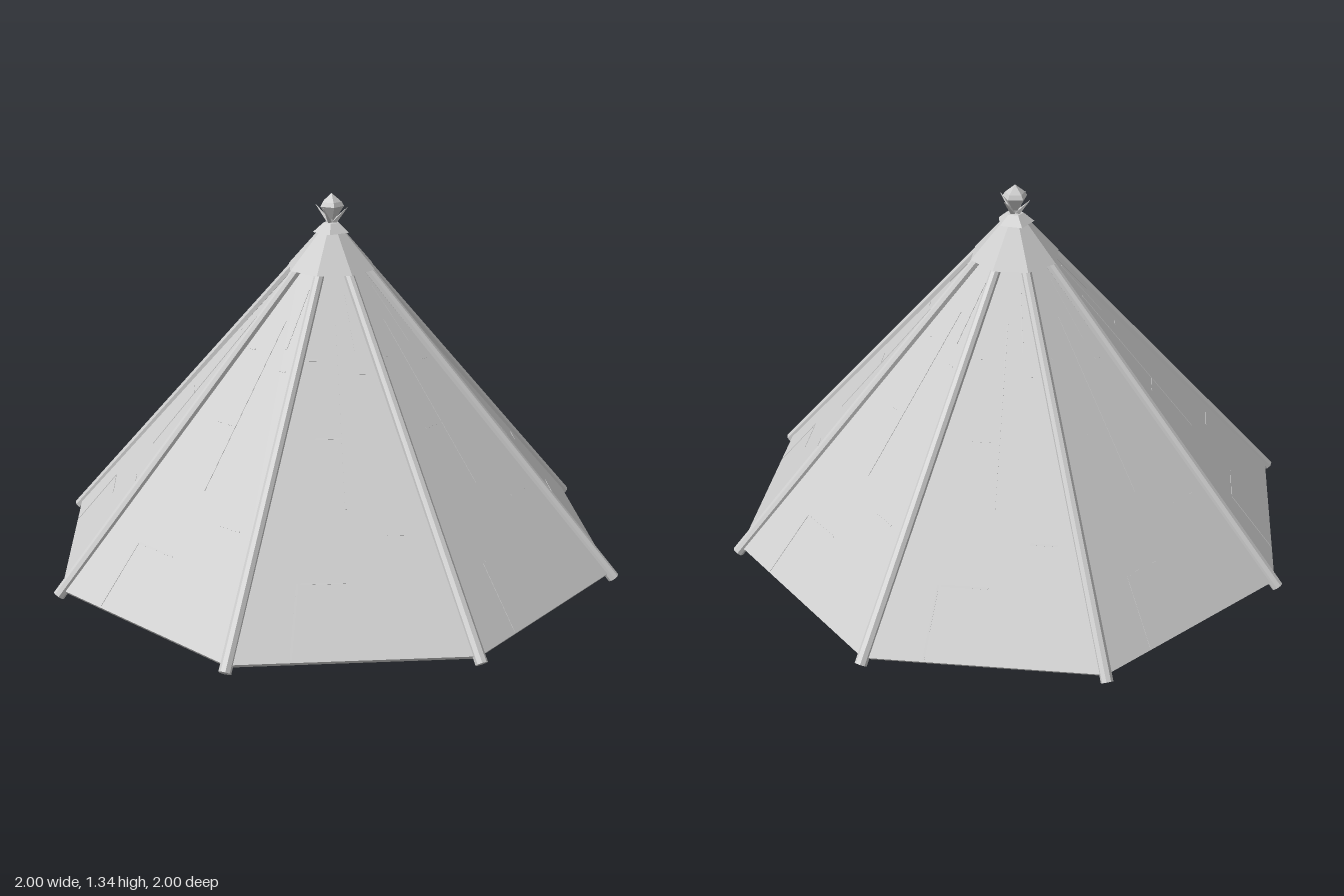
import * as THREE from 'three';

const SIDES = 8;
const STEP = (Math.PI * 2) / SIDES;
const COS = Math.cos(STEP / 2);
const mat = new THREE.MeshStandardMaterial({ color: 0xcccccc, flatShading: true, side: THREE.DoubleSide });

// Roof line measured at the octagon's corners
const EAVE = new THREE.Vector2(1.055, 0.045);
const NECK = new THREE.Vector2(0.13, 1.09);
const roofRadius = (y) => EAVE.x + ((y - EAVE.y) / (NECK.y - EAVE.y)) * (NECK.x - EAVE.x);

function mesh(name, geometry, parent) {
  const m = new THREE.Mesh(geometry, mat);
  m.name = name;
  parent.add(m);
  return m;
}

// Faceted ring of revolution with its flat sides facing the axes
function faceted(points, sides = SIDES) {
  return new THREE.LatheGeometry(points.map(([r, y]) => new THREE.Vector2(r, y)), sides, Math.PI / sides);
}

// Rod between two points
function rod(name, a, b, r0, r1, sides, parent) {
  const dir = b.clone().sub(a);
  const m = mesh(name, new THREE.CylinderGeometry(r1, r0, dir.length(), sides), parent);
  m.position.copy(a).lerp(b, 0.5);
  m.quaternion.setFromUnitVectors(new THREE.Vector3(0, 1, 0), dir.normalize());
  return m;
}

// Plank seam lying on the front-facing panel, given in x and height
function seam([x0, y0, x1, y1], parent) {
  const onPanel = (x, y) => new THREE.Vector3(x, y, roofRadius(y) * COS);
  const a = onPanel(x0, y0);
  const b = onPanel(x1, y1);
  const along = b.clone().sub(a);
  const length = along.length();
  along.normalize();
  const slope = onPanel(0, 1).sub(onPanel(0, 0));
  const normal = new THREE.Vector3(1, 0, 0).cross(slope).normalize();
  const m = mesh('plankSeam', new THREE.BoxGeometry(0.006, length, 0.003), parent);
  m.position.copy(a).lerp(b, 0.5);
  const side = along.clone().cross(normal);
  m.quaternion.setFromRotationMatrix(new THREE.Matrix4().makeBasis(side, along, normal));
}

export function createModel() {
  const model = new THREE.Group();
  model.name = 'octagonalRoof';

  // Hollow roof shell: inside surface, eave edge, outside surface
  mesh('roofShell', faceted([
    [0.004, 1.21], [1.041, 0.03], [EAVE.x, EAVE.y], [NECK.x, NECK.y], [0.01, 1.226],
  ]), model);

  // Plank seams, repeated on each panel
  const seams = [
    [0, 0.43, 0, 0.94], [-0.16, 0.24, 0, 0.24], [-0.09, 0.62, 0, 0.62],
    [-0.2, 0.05, -0.17, 0.24], [0.13, 0.36, 0.22, 0.36],
    [-0.1, 0.84, -0.07, 0.84], [0.07, 0.8, 0.1, 0.8], [0.06, 0.86, 0.035, 1.04],
  ];
  for (let i = 0; i < SIDES; i++) {
    const panel = new THREE.Group();
    panel.name = 'panelSeams';
    panel.rotation.y = i * STEP;
    seams.forEach((s) => seam(s, panel));
    model.add(panel);
  }

  // Poles along the corners
  for (let i = 0; i < SIDES; i++) {
    const a = (i + 0.5) * STEP;
    const at = (r, y) => new THREE.Vector3(Math.sin(a) * r, y, Math.cos(a) * r);
    rod('cornerPole', at(1.067, 0.024), at(0.1, 1.13), 0.021, 0.018, 8, model);
  }

  // Cap over the pole tops
  mesh('cap', faceted([[0.14, 1.085], [0.162, 1.09], [0.03, 1.24], [0, 1.25]]), model);

  // Small drooping collar
  mesh('collar', faceted([[0.03, 1.225], [0.068, 1.218], [0.03, 1.25], [0, 1.255]], 5), model);

  // Gem finial with slender leaves around it
  const gem = mesh('finialGem', faceted([[0.012, 1.24], [0.014, 1.262], [0.045, 1.31], [0.036, 1.325], [0, 1.355]], 5), model);
  gem.rotation.y = 0.3;
  for (let i = 0; i < 4; i++) {
    const a = i * (Math.PI / 2) + Math.PI / 2 + 0.25;
    const from = new THREE.Vector3(0, 1.24, 0);
    const to = new THREE.Vector3(Math.sin(a) * 0.063, 1.31, Math.cos(a) * 0.063);
    rod('finialLeaf', from, to, 0.012, 0.001, 4, model);
  }
  return model;
}
